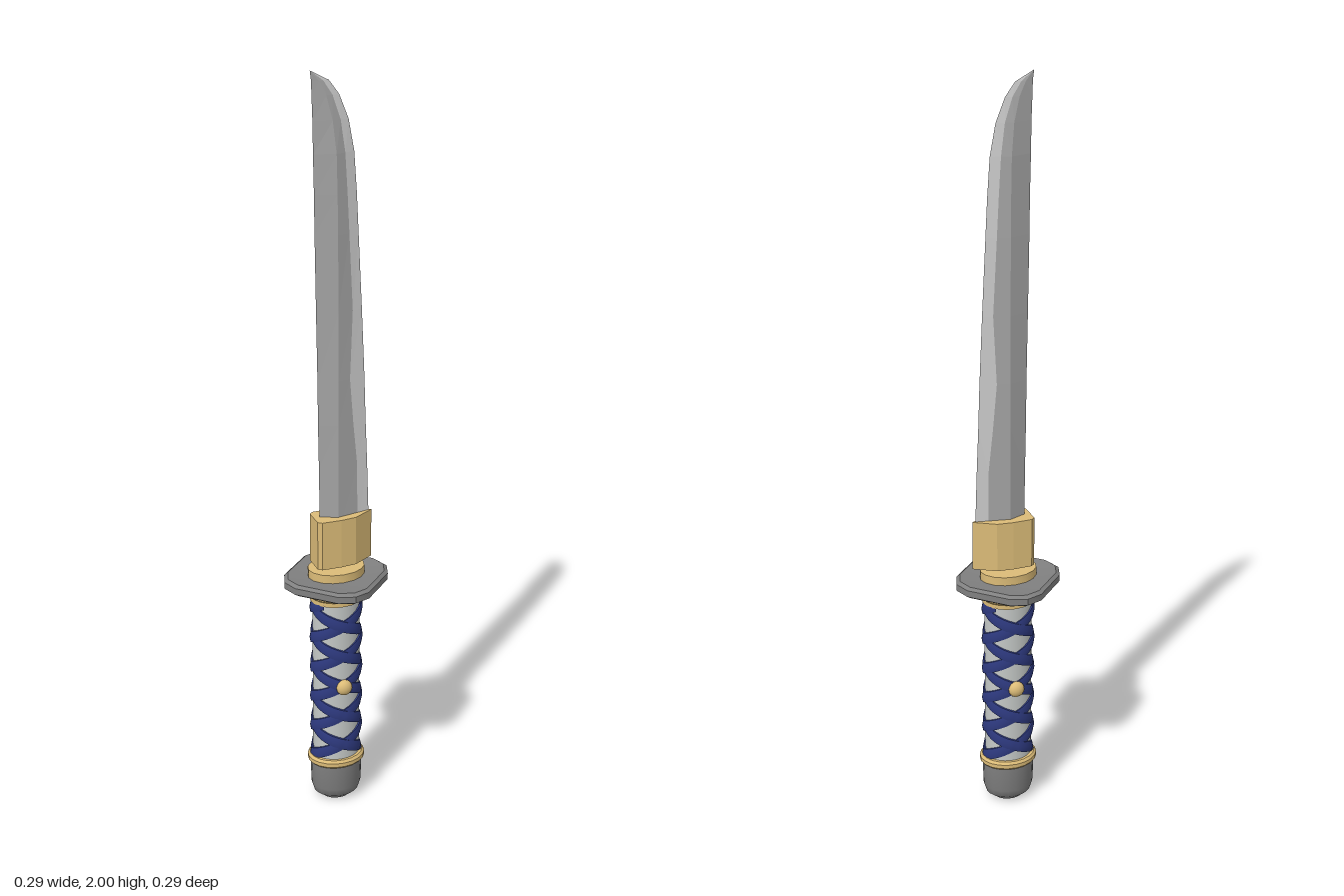
import * as THREE from 'three';
import { toCreasedNormals } from 'three/addons/utils/BufferGeometryUtils.js';

const mat = (name, color) => {
  const m = new THREE.MeshStandardMaterial({ color });
  m.name = name;
  return m;
};

// Oval turned part: profile of [radius, y] from bottom to top, squashed in z
function oval(profile, squash, segments = 20) {
  const g = new THREE.LatheGeometry(profile.map(([r, y]) => new THREE.Vector2(r, y)), segments);
  g.scale(1, 1, squash);
  return toCreasedNormals(g, 0.6);
}

// Blade sections: y, back x, ridge x, temper line x, edge x, half thickness
const SECTIONS = [
  [0.80, -0.045, 0.000, 0.057, 0.092, 0.018],
  [0.98, -0.047, 0.000, 0.056, 0.086, 0.018],
  [1.10, -0.049, 0.000, 0.044, 0.081, 0.018],
  [1.22, -0.050, 0.000, 0.034, 0.077, 0.018],
  [1.40, -0.053, 0.000, 0.042, 0.069, 0.017],
  [1.60, -0.056, -0.001, 0.032, 0.059, 0.017],
  [1.70, -0.057, -0.002, 0.027, 0.054, 0.016],
  [1.80, -0.059, -0.004, 0.021, 0.047, 0.015],
  [1.88, -0.060, -0.012, 0.010, 0.032, 0.010],
  [1.94, -0.062, -0.027, -0.010, 0.008, 0.006],
  [1.975, -0.063, -0.044, -0.033, -0.018, 0.003],
  [2.00, -0.066, -0.066, -0.066, -0.066, 0],
];

// Flat facets between blade columns (0 back, 1 ridge, 2 temper line, 3 edge)
function bladeStrips(first, last) {
  const p = [];
  const point = (s, col, side) => {
    const [y, , ridge, temper, edge, t] = s;
    const z = [0, t, edge > ridge ? t * (edge - temper) / (edge - ridge) : 0, 0][col];
    return [s[1 + col], y, z * side];
  };
  for (const side of [1, -1]) {
    for (let i = 0; i < SECTIONS.length - 1; i++) {
      for (let c = first; c < last; c++) {
        const a = point(SECTIONS[i], c, side), b = point(SECTIONS[i], c + 1, side);
        const d = point(SECTIONS[i + 1], c, side), e = point(SECTIONS[i + 1], c + 1, side);
        const tris = side > 0 ? [a, b, e, a, e, d] : [a, e, b, a, d, e];
        tris.forEach(v => p.push(...v));
      }
    }
  }
  const g = new THREE.BufferGeometry();
  g.setAttribute('position', new THREE.Float32BufferAttribute(p, 3));
  g.computeVertexNormals();
  return g;
}

// One cord winding round the oval grip; dir is the winding direction
function cord(dir, start) {
  const pitch = 0.18, y0 = 0.125, y1 = 0.61, steps = 96, p = [], idx = [];
  for (let i = 0; i <= steps; i++) {
    const y = y0 + (y1 - y0) * i / steps;
    const turn = 2 * Math.PI * (y - 0.363) / pitch;
    const a = Math.PI / 2 + start + dir * turn;
    const lift = 0.0015 * dir * Math.cos(2 * turn);   // over and under
    for (const [out, dy] of [[-0.006, -0.018], [0.004, -0.016], [0.007, 0], [0.004, 0.016], [-0.006, 0.018]]) {
      const r = out + lift;
      const yy = THREE.MathUtils.clamp(y + dy, y0, y1);
      p.push(Math.cos(a) * (0.064 + r), yy, Math.sin(a) * (0.055 + r));
    }
    if (i < steps) {
      for (let j = 0; j < 5; j++) {
        const k = (j + 1) % 5, A = i * 5 + j, B = i * 5 + k, C = A + 5, D = B + 5;
        if (dir > 0) idx.push(A, B, C, B, D, C);
        else idx.push(A, C, B, B, C, D);
      }
    }
  }
  // Keep the outer face pointing away from the grip whichever way it winds
  for (let t = 0; t < idx.length; t += 30) {
    const v = n => new THREE.Vector3().fromArray(p, idx[t + 6 + n] * 3);
    const n = v(1).sub(v(0)).cross(v(2).sub(v(0)));
    const o = v(0).setY(0);
    if (n.dot(o) < 0) {
      for (let q = t; q < t + 30; q += 3) [idx[q + 1], idx[q + 2]] = [idx[q + 2], idx[q + 1]];
    }
  }
  const g = new THREE.BufferGeometry();
  g.setAttribute('position', new THREE.Float32BufferAttribute(p, 3));
  g.setIndex(idx);
  return toCreasedNormals(g, 0.7);
}

// Rounded diamond guard: a turned disc pulled out to a twelve-point outline
function guardGeometry() {
  const profile = [[0, 0.652], [0.6, 0.652], [0.92, 0.648], [1, 0.655], [1, 0.673], [0.93, 0.68], [0.6, 0.675], [0, 0.675]];
  const g = new THREE.LatheGeometry(profile.map(([r, y]) => new THREE.Vector2(r, y)), 12);
  const quarter = [[0, 0.144], [0.043, 0.13], [0.13, 0.043]];
  const pos = g.attributes.position;
  for (let n = 0; n < pos.count; n++) {
    const i = Math.floor(n / profile.length) % 12, r = profile[n % profile.length][0];
    let [x, z] = quarter[i % 3];
    for (let q = 0; q < Math.floor(i / 3); q++) [x, z] = [z, -x];
    pos.setX(n, x * r);
    pos.setZ(n, z * r);
  }
  return toCreasedNormals(g, 0.6);
}

// Wedge-shaped collar gripping the blade base
function bladeCollarGeometry() {
  const half = [[-0.062, 0.03], [-0.052, 0.038], [0.0, 0.039], [0.043, 0.034]];
  const pts = [...half, [0.099, 0], ...half.slice().reverse().map(([x, z]) => [x, -z])];
  const shape = new THREE.Shape(pts.map(([x, z]) => new THREE.Vector2(x, z)));
  const g = new THREE.ExtrudeGeometry(shape, { depth: 0.135, bevelEnabled: false });
  g.rotateX(-Math.PI / 2);
  g.translate(0, 0.71, 0);
  return g;
}

export function createModel() {
  const group = new THREE.Group();
  const blade = mat('blade steel', 0xa6a6a6);
  const edge = mat('polished edge', 0xcfcfcf);
  const iron = mat('dark iron', 0x808080);
  const brass = mat('brass', 0xdcbc78);
  const skin = mat('pale grip', 0xc6cac8);
  const blue = mat('blue cord', 0x2f3b82);
  const add = (name, geometry, material) => {
    const m = new THREE.Mesh(geometry, material);
    m.name = name;
    group.add(m);
    return m;
  };

  // Blade
  add('bladeBody', bladeStrips(0, 2), blade);
  add('bladeEdge', bladeStrips(2, 3), edge);
  add('bladeCollar', bladeCollarGeometry(), brass);

  // Guard and its fittings
  add('guardWasher', oval([[0, 0.672], [0.077, 0.672], [0.077, 0.698], [0, 0.698]], 0.78, 16), brass);
  add('guard', guardGeometry(), iron);
  add('gripCollar', oval([[0, 0.605], [0.071, 0.605], [0.071, 0.617], [0.076, 0.622], [0.076, 0.652], [0, 0.652]], 0.89), brass);

  // Grip with crossing cords
  add('gripCore', oval([[0.064, 0.115], [0.064, 0.62]], 0.86, 28), skin);
  for (const dir of [1, -1]) {
    for (const start of [0, Math.PI]) add('gripCord', cord(dir, start), blue);
  }

  // Round pegs on the front and back of the grip
  for (const side of [1, -1]) {
    const peg = add('gripPeg', new THREE.SphereGeometry(0.022, 16, 10), brass);
    peg.scale.z = 0.75;
    peg.position.set(0, 0.363, side * 0.063);
  }

  // Pommel and its ring
  add('pommelRing', oval([[0, 0.112], [0.073, 0.112], [0.079, 0.118], [0.079, 0.129], [0.073, 0.136], [0, 0.136]], 0.85), brass);
  add('pommel', oval([[0, 0], [0.04, 0], [0.062, 0.018], [0.069, 0.04], [0.071, 0.114], [0, 0.114]], 0.87), iron);
  return group;
}
